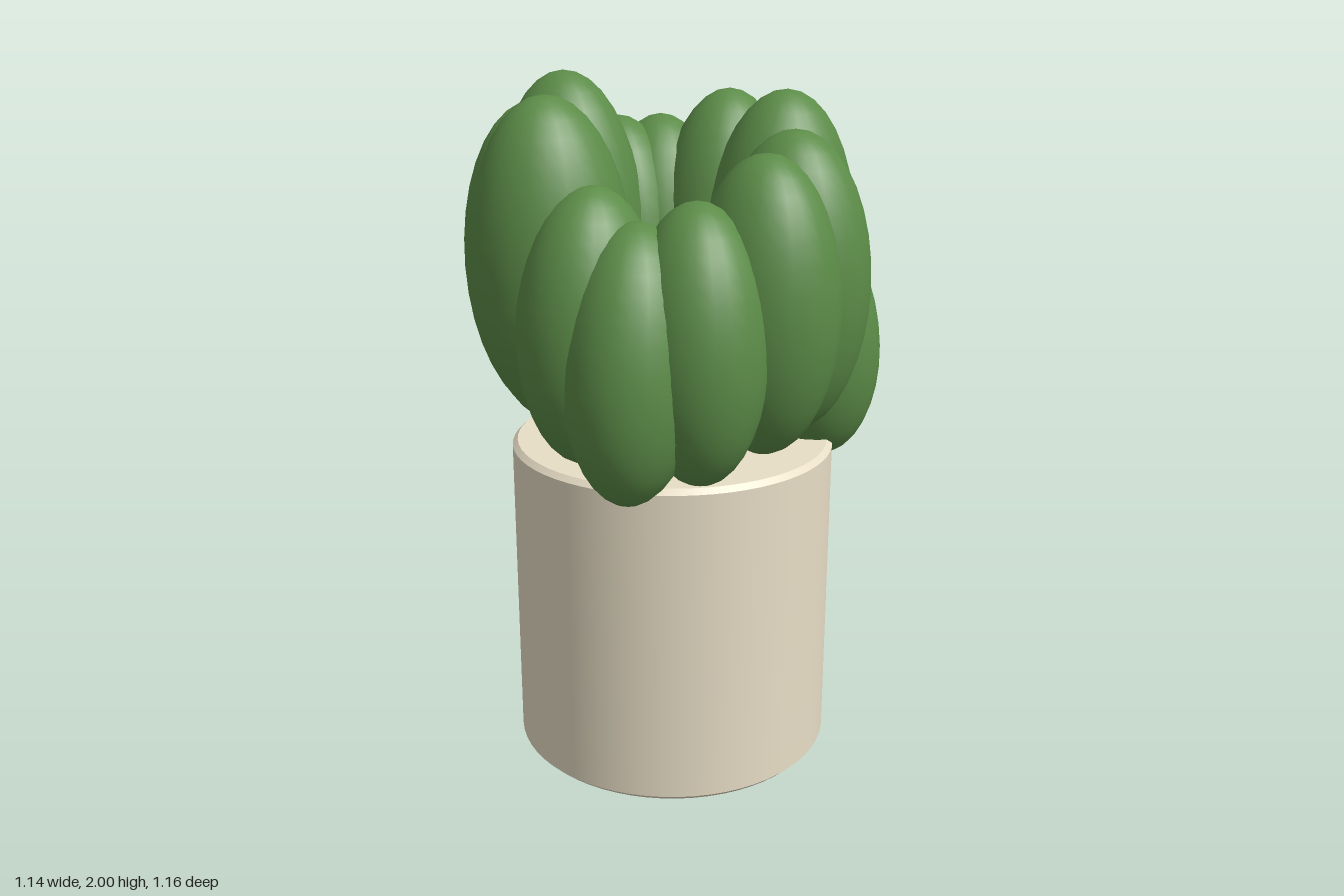
import * as THREE from 'three';

export function createModel() {
  const model = new THREE.Group();
  const potMaterial = new THREE.MeshStandardMaterial({ color: 0xe8dec6 });
  const leafMaterial = new THREE.MeshStandardMaterial({ color: 0x5c8c48 });

  // Solid pot: a cylinder with a narrow bevel at both rims
  const R = 0.475, H = 0.96, b = 0.015;
  const addPotPart = (name, geometry, y) => {
    const mesh = new THREE.Mesh(geometry, potMaterial);
    mesh.name = name;
    mesh.position.y = y;
    model.add(mesh);
  };
  addPotPart('potWall', new THREE.CylinderGeometry(R, R, H - 2 * b, 64, 1, true), H / 2);
  addPotPart('potTopRim', new THREE.CylinderGeometry(R - b, R, b, 64, 1, true), H - b / 2);
  addPotPart('potBottomRim', new THREE.CylinderGeometry(R, R - b, b, 64, 1, true), b / 2);
  const disc = new THREE.CircleGeometry(R - b, 64);
  addPotPart('potTop', disc.clone().rotateX(-Math.PI / 2), H);
  addPotPart('potBase', disc.clone().rotateX(Math.PI / 2), 0);

  // Ring of plump leaves: x, z, top, bottom, outward lean in degrees
  const leaves = [
    [0.345, 0.09, 1.95, 1.02, 2],
    [0.335, -0.13, 1.94, 1.01, 2],
    [0.22, -0.30, 1.86, 0.99, 3],
    [0.10, -0.355, 1.86, 1.0, 2],
    [-0.09, -0.36, 2.0, 1.06, 2],
    [-0.25, -0.28, 1.93, 1.01, 2],
    [-0.335, -0.12, 1.96, 1.04, 2],
    [-0.36, 0.07, 1.74, 0.98, -4],
    [-0.335, 0.22, 1.66, 0.9, -9],
    [-0.19, 0.32, 1.71, 0.945, -5],
    [0.02, 0.355, 1.82, 0.99, 0],
    [0.155, 0.325, 1.87, 1.02, 0],
    [0.33, 0.23, 1.64, 0.88, -9],
  ];
  const ball = new THREE.SphereGeometry(1, 24, 18);
  const plant = new THREE.Group();
  plant.name = 'plant';
  leaves.forEach(([x, z, top, bottom, lean], i) => {
    const half = (top - bottom) / 2;
    const leaf = new THREE.Mesh(ball, leafMaterial);
    leaf.name = `leaf${i + 1}`;
    leaf.position.set(x, (top + bottom) / 2, z);
    leaf.rotation.order = 'YXZ';
    leaf.rotation.set(THREE.MathUtils.degToRad(lean), Math.atan2(x, z), 0);
    leaf.scale.set(0.09 + half * 0.26, half, 0.12 + half * 0.235);
    plant.add(leaf);
  });
  model.add(plant);
  return model;
}
